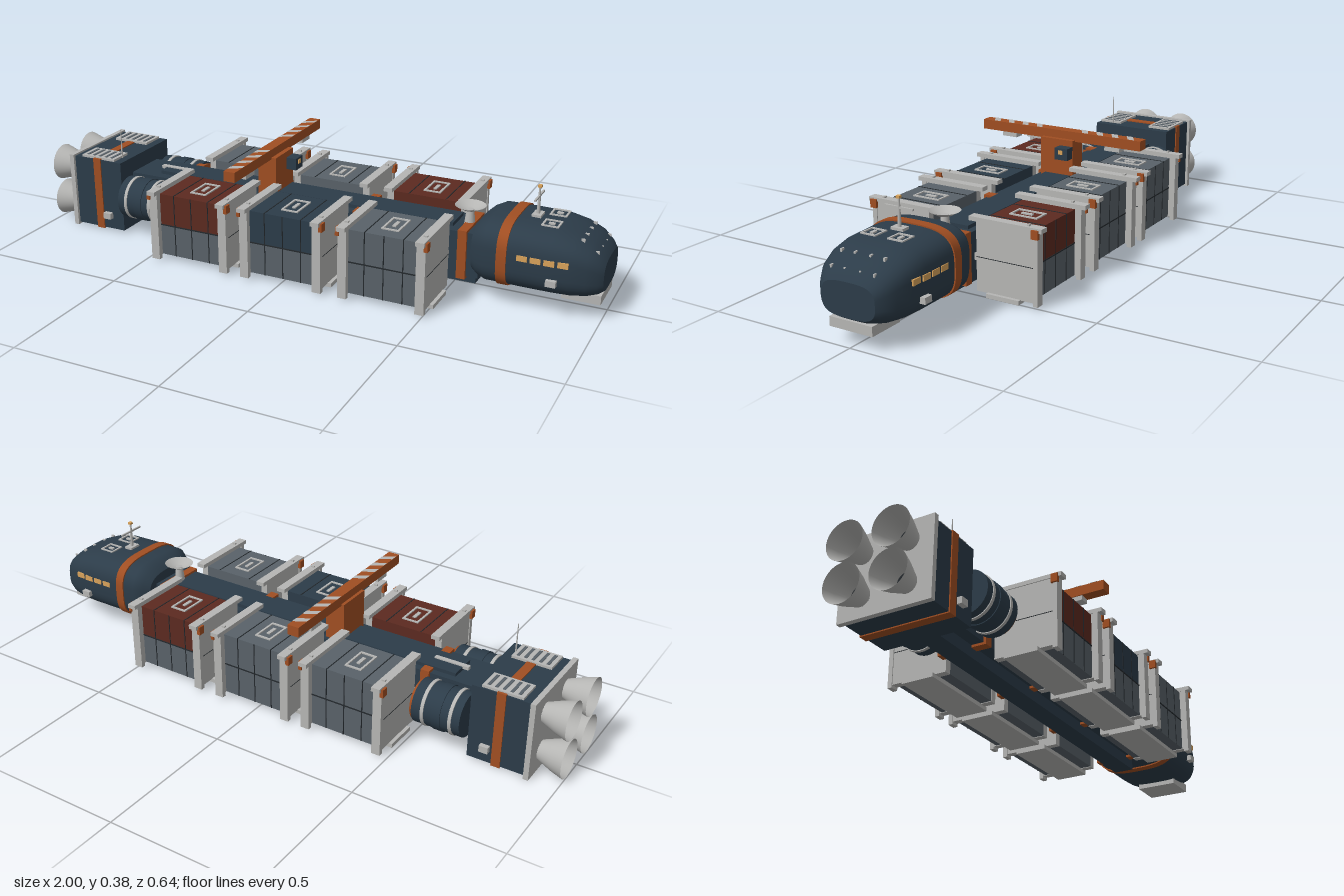
import * as THREE from 'three';

const mat = (name, color, side = THREE.FrontSide) => {
  const m = new THREE.MeshStandardMaterial({ color, side });
  m.name = name;
  return m;
};

export function createModel() {
  const root = new THREE.Group();
  root.name = 'cargoFreighter';
  const navy = mat('navy', 0x2c3c49), light = mat('lightGrey', 0xb6b6b4, THREE.DoubleSide);
  const slate = mat('slate', 0x596269), red = mat('rustRed', 0x5c2a20);
  const orange = mat('orange', 0xa04e22), tan = mat('amber', 0xd8a25a), dark = mat('charcoal', 0x24292d);

  const add = (name, geo, m, x = 0, y = 0, z = 0, parent = root) => {
    const mesh = new THREE.Mesh(geo, m);
    mesh.name = name;
    mesh.position.set(x, y, z);
    parent.add(mesh);
    return mesh;
  };
  // Box given by its limits on each axis
  const box = (name, m, x0, x1, y0, y1, z0, z1, parent = root) =>
    add(name, new THREE.BoxGeometry(x1 - x0, y1 - y0, Math.abs(z1 - z0)), m,
      (x0 + x1) / 2, (y0 + y1) / 2, (z0 + z1) / 2, parent);
  // Cylinder lying along x
  const cylX = (name, m, r, len, x, y, z) =>
    add(name, new THREE.CylinderGeometry(r, r, len, 32).rotateZ(Math.PI / 2), m, x, y, z);
  // Flat rectangular outline facing up
  const outline = (name, w, d, t, x, y, z, parent = root) => {
    for (const s of [-1, 1]) {
      add(name, new THREE.BoxGeometry(t, 0.004, d), light, x + s * (w - t) / 2, y, z, parent);
      add(name, new THREE.BoxGeometry(w, 0.004, t), light, x, y, z + s * (d - t) / 2, parent);
    }
  };

  // Spine with raised duct, keel and frame rings
  box('spine', navy, -0.71, 0.6, 0.06, 0.21, -0.078, 0.078);
  box('spineDuct', navy, -0.6, 0.5, 0.21, 0.222, -0.055, 0.045);
  box('ductPipe', light, -0.62, -0.5, 0.215, 0.226, -0.008, 0.008);
  box('keel', navy, -0.7, 0.58, 0.02, 0.06, -0.035, 0.035);
  for (const x of [-0.508, -0.165, 0.182, 0.545])
    box('spineRing', orange, x - 0.015, x + 0.015, 0.052, 0.218, -0.087, 0.087);

  // Cargo containers in two rows
  const rows = { 1: [red, navy, slate], '-1': [slate, slate, red] };
  for (const s of [1, -1]) [-0.333, 0.009, 0.36].forEach((cx, i) => {
    const g = new THREE.Group();
    g.name = 'cargoContainer';
    g.position.x = cx;
    root.add(g);
    const upper = rows[s][i];
    box('containerLower', slate, -0.13, 0.13, 0.022, 0.13, s * 0.088, s * 0.28, g);
    box('containerUpper', upper, -0.13, 0.13, 0.13, 0.24, s * 0.088, s * 0.28, g);
    box('seam', dark, -0.13, 0.13, 0.128, 0.132, s * 0.2795, s * 0.282, g);
    for (const x of [-0.065, 0, 0.065])
      box('sideGroove', dark, x - 0.0015, x + 0.0015, 0.022, 0.24, s * 0.2795, s * 0.2815, g);
    for (const x of [-0.065, 0.065])
      box('topGroove', dark, x - 0.0015, x + 0.0015, 0.2395, 0.2415, s * 0.088, s * 0.28, g);
    outline('topMarking', 0.06, 0.1, 0.007, 0, 0.242, s * 0.182, g);
    box('markingBar', light, -0.006, 0.006, 0.24, 0.244, s * 0.16, s * 0.2, g);
    box('skid', light, -0.155, 0.155, 0.008, 0.022, s * 0.127, s * 0.243, g);
    // End frames with posts, rails and corner blocks
    for (const e of [-1, 1]) {
      const x = e * 0.131;
      box('endPlate', light, x - 0.012, x + 0.012, 0.02, 0.245, s * 0.087, s * 0.29, g);
      box('post', light, x - 0.015, x + 0.015, 0.01, 0.245, s * 0.288, s * 0.304, g);
      box('topRail', light, x - 0.015, x + 0.015, 0.243, 0.257, s * 0.062, s * 0.318, g);
      box('endSeam', dark, x + e * 0.012 - 0.001, x + e * 0.012 + 0.001, 0.13, 0.132, s * 0.087, s * 0.29, g);
      box('cornerBlock', orange, x + e * 0.016 - 0.006, x + e * 0.016 + 0.006, 0.224, 0.252, s * 0.285, s * 0.308, g);
      box('railClamp', light, x - 0.006, x + 0.006, 0.257, 0.262, s * 0.262, s * 0.27, g);
      box('mountArm', light, x - 0.01, x + 0.01, 0.118, 0.14, s * 0.07, s * 0.088, g);
    }
  });

  // Fuel tanks beside the spine
  for (const s of [1, -1]) {
    cylX('tank', navy, 0.073, 0.165, -0.605, 0.137, s * 0.122);
    for (const x of [-0.655, -0.56]) cylX('tankBand', light, 0.076, 0.011, x, 0.137, s * 0.122);
    cylX('tankRing', navy, 0.076, 0.03, -0.607, 0.137, s * 0.122);
    cylX('tankCap', orange, 0.066, 0.012, -0.519, 0.137, s * 0.122);
  }

  // Engine block
  box('engineBlock', navy, -0.895, -0.7, 0.01, 0.265, -0.15, 0.15);
  box('engineBand', orange, -0.813, -0.783, 0.006, 0.269, -0.154, 0.154);
  box('nozzlePlate', light, -0.91, -0.893, 0.003, 0.271, -0.16, 0.16);
  for (const s of [1, -1]) {
    box('radiatorPanel', light, -0.865, -0.73, 0.265, 0.273, s * 0.06, s * 0.145);
    for (let i = 0; i < 5; i++)
      box('radiatorSlot', slate, -0.852 + i * 0.025, -0.842 + i * 0.025, 0.273, 0.2745, s * 0.07, s * 0.135);
    box('sideThruster', light, -0.775, -0.745, 0.05, 0.072, s * 0.149, s * 0.167);
    for (const y of [0.07, 0.205]) {
      const pts = [[0.03, 0], [0.038, 0.02], [0.052, 0.055], [0.064, 0.095]].map(p => new THREE.Vector2(...p));
      add('nozzle', new THREE.LatheGeometry(pts, 36).rotateZ(Math.PI / 2), light, -0.905, y, s * 0.079);
      cylX('nozzleThroat', dark, 0.032, 0.006, -0.913, y, s * 0.079);
    }
  }
  add('rearAntenna', new THREE.CylinderGeometry(0.0015, 0.003, 0.105, 8), light, -0.73, 0.317, 0.093);

  // Crane over the containers
  box('craneTower', orange, -0.195, -0.127, 0.21, 0.346, -0.063, 0.063);
  box('craneBeam', orange, -0.184, -0.144, 0.34, 0.374, -0.311, 0.311);
  for (const s of [1, -1]) {
    box('craneHoist', light, -0.181, -0.147, 0.324, 0.345, s * 0.175, s * 0.232);
    for (let i = 0; i < 4; i++) {
      const z = s * (0.09 + i * 0.058), h = 0.012;
      const shape = new THREE.Shape([[-0.02, -h - 0.012], [0.02, -h + 0.012], [0.02, h + 0.012], [-0.02, h - 0.012]]
        .map(p => new THREE.Vector2(...p)));
      add('hazardStripe', new THREE.ShapeGeometry(shape).rotateX(-Math.PI / 2), light, -0.164, 0.3752, z);
    }
  }
  box('craneCab', navy, -0.128, -0.09, 0.284, 0.325, -0.062, -0.013);
  box('craneCabWindow', tan, -0.091, -0.087, 0.304, 0.318, -0.045, -0.028);

  // Cabin hull lofted from rounded sections: x, half width, bottom, top
  const stations = [[0.585, 0.115, 0.085, 0.245], [0.605, 0.132, 0.073, 0.264], [0.635, 0.151, 0.066, 0.278],
    [0.74, 0.152, 0.065, 0.279], [0.84, 0.152, 0.065, 0.276], [0.9, 0.146, 0.066, 0.264],
    [0.95, 0.131, 0.071, 0.243], [0.982, 0.111, 0.08, 0.217], [0.998, 0.093, 0.09, 0.196]];
  const N = 48;
  const loft = (list, capped) => {
    const pos = [], idx = [];
    const section = ([x, w, b, t]) => {
      for (let j = 0; j < N; j++) {
        const a = j / N * Math.PI * 2, c = Math.cos(a), s = Math.sin(a), p = 0.62;
        pos.push(x, (b + t) / 2 + (t - b) / 2 * Math.sign(s) * Math.abs(s) ** p, w * Math.sign(c) * Math.abs(c) ** p);
      }
    };
    list.forEach(section);
    for (let i = 0; i < list.length - 1; i++) for (let j = 0; j < N; j++) {
      const a = i * N + j, b = i * N + (j + 1) % N;
      idx.push(a, a + N, b, b, a + N, b + N);
    }
    if (capped) [list[0], list[list.length - 1]].forEach((st, k) => {
      const base = pos.length / 3;
      section(st);
      pos.push(st[0], (st[2] + st[3]) / 2, 0);
      for (let j = 0; j < N; j++) {
        const a = base + j, b = base + (j + 1) % N;
        idx.push(base + N, k ? b : a, k ? a : b);
      }
    });
    const g = new THREE.BufferGeometry();
    g.setAttribute('position', new THREE.Float32BufferAttribute(pos, 3));
    g.setIndex(idx);
    g.computeVertexNormals();
    return g;
  };
  add('cabinHull', loft(stations, true), navy);
  add('cabinBand', loft([[0.678, 0.156, 0.061, 0.283], [0.71, 0.156, 0.061, 0.283]], true), orange);
  box('chinPlate', light, 0.87, 0.992, 0.05, 0.08, -0.075, 0.075);

  // Cabin windows, side pods and roof hatches
  for (const s of [1, -1]) {
    for (let i = 0; i < 4; i++)
      box('sideWindow', tan, 0.742 + i * 0.042, 0.775 + i * 0.042, 0.182, 0.2, s * (i > 2 ? 0.142 : 0.146), s * (i > 2 ? 0.151 : 0.154));
    box('sidePod', light, 0.838, 0.87, 0.12, 0.14, s * 0.145, s * 0.165);
    outline('roofHatch', 0.055, 0.055, 0.006, 0.818, 0.279, s * 0.048);
    box('hatchHandle', light, 0.808, 0.828, 0.276, 0.281, s * 0.042, s * 0.054);
    for (const z of [0.027, 0.075]) {
      box('noseLamp', light, 0.917, 0.929, 0.246, 0.258, s * z - 0.003, s * z + 0.003);
      box('noseLamp', light, 0.961, 0.975, 0.21, 0.226, s * z - 0.003, s * z + 0.003);
    }
  }

  // Mast and dish
  add('mast', new THREE.CylinderGeometry(0.003, 0.006, 0.1, 10), light, 0.76, 0.325, 0);
  box('mastBase', light, 0.745, 0.775, 0.276, 0.286, -0.022, 0.022);
  box('mastCrossbar', light, 0.757, 0.763, 0.34, 0.346, -0.05, 0.05);
  box('mastLamp', tan, 0.754, 0.766, 0.371, 0.379, -0.006, 0.006);
  add('dishStand', new THREE.CylinderGeometry(0.012, 0.018, 0.05, 16), light, 0.54, 0.235, 0);
  const dish = [[0, 0], [0.025, 0.004], [0.05, 0.018]].map(p => new THREE.Vector2(...p));
  add('dish', new THREE.LatheGeometry(dish, 32), light, 0.54, 0.256, 0);
  return root;
}
